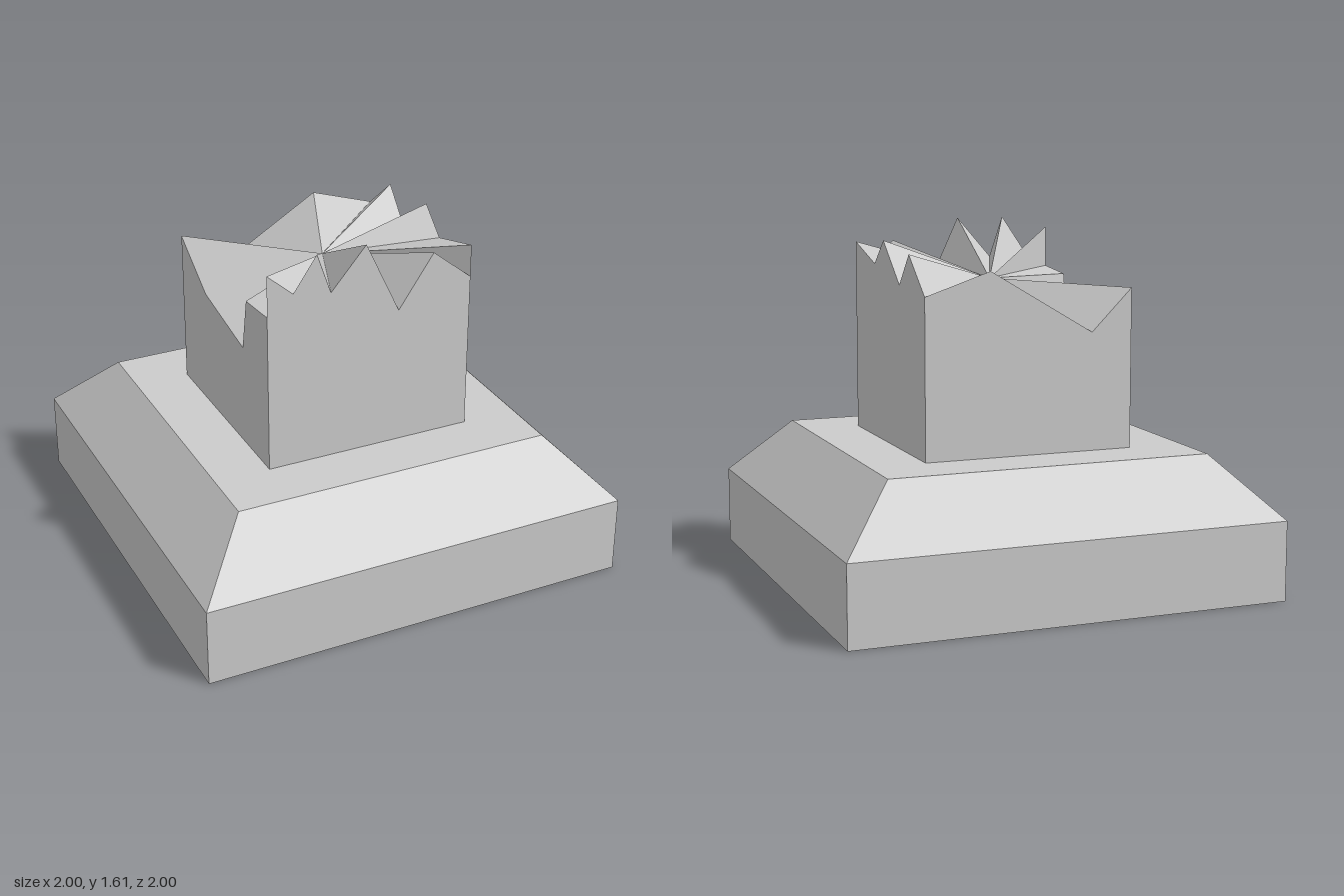
import * as THREE from 'three';

const material = new THREE.MeshStandardMaterial({ color: 0xcccccc, flatShading: true, side: THREE.DoubleSide });

const HALF = 0.485;      // half width of the pillar
const FOOT = 0.63;       // top of the plinth, foot of the pillar
const HUB = 1.365;       // height of the middle of the broken top

function addMesh(group, geometry, name) {
  const flat = geometry.index ? geometry.toNonIndexed() : geometry;
  flat.computeVertexNormals();
  const mesh = new THREE.Mesh(flat, material);
  mesh.name = name;
  group.add(mesh);
}

function fromTriangles(points) {
  return new THREE.BufferGeometry().setFromPoints(points);
}

// Jagged rim of each wall: [distance along the wall, height], counter-clockwise from above
const walls = [
  { name: 'leftWall', place: t => [HALF, -t],
    rim: [[-HALF, 1.51], [-0.2, 1.43], [-0.07, 1.545], [0.15, 1.365], [0.28, 1.51], [HALF, 1.345]] },
  { name: 'backWall', place: t => [-t, -HALF],
    rim: [[-HALF, 1.345], [-0.185, 1.445], [0.295, 1.16], [HALF, 1.35]] },
  { name: 'rightWall', place: t => [-HALF, t],
    rim: [[-HALF, 1.35], [-0.205, 1.175], [0.215, 1.1], [0.262, 1.345], [HALF, 1.365]] },
  { name: 'frontWall', place: t => [t, HALF],
    rim: [[-HALF, 1.555], [-0.365, 1.45], [-0.255, 1.61], [-0.19, 1.42],
      [-0.025, 1.61], [0.135, 1.27], [0.3, 1.51], [HALF, 1.36]] },
];

export function createModel() {
  const model = new THREE.Group();

  // Square plinth with a sloped shoulder: a four-sided lathe
  const profile = [[0, 0], [1, 0], [1, 0.36], [0.74, FOOT], [0, FOOT]]
    .map(([r, y]) => new THREE.Vector2(r * Math.SQRT2, y));
  addMesh(model, new THREE.LatheGeometry(profile, 4).rotateY(Math.PI / 4), 'plinth');

  // Broken pillar
  const pillar = new THREE.Group();
  pillar.name = 'brokenPillar';
  model.add(pillar);

  const loop = [];
  for (const { name, place, rim } of walls) {
    const top = rim.map(([t, y]) => {
      const [x, z] = place(t);
      return new THREE.Vector3(x, y, z);
    });
    const triangles = [];
    for (let i = 0; i < top.length - 1; i++) {
      const a = top[i], b = top[i + 1];
      const a0 = a.clone().setY(FOOT), b0 = b.clone().setY(FOOT);
      triangles.push(a0, b0, b, a0, b, a);
    }
    addMesh(pillar, fromTriangles(triangles), name);
    loop.push(...top);
  }

  // Fractured top: a fan from the hub to the rim, closing the steps at the corners
  const hub = new THREE.Vector3(0, HUB, 0);
  const fan = [];
  loop.forEach((p, i) => {
    const q = loop[(i + 1) % loop.length];
    if (p.distanceTo(q) > 0.001) fan.push(hub, p, q);
  });
  addMesh(pillar, fromTriangles(fan), 'fracturedTop');

  return model;
}
